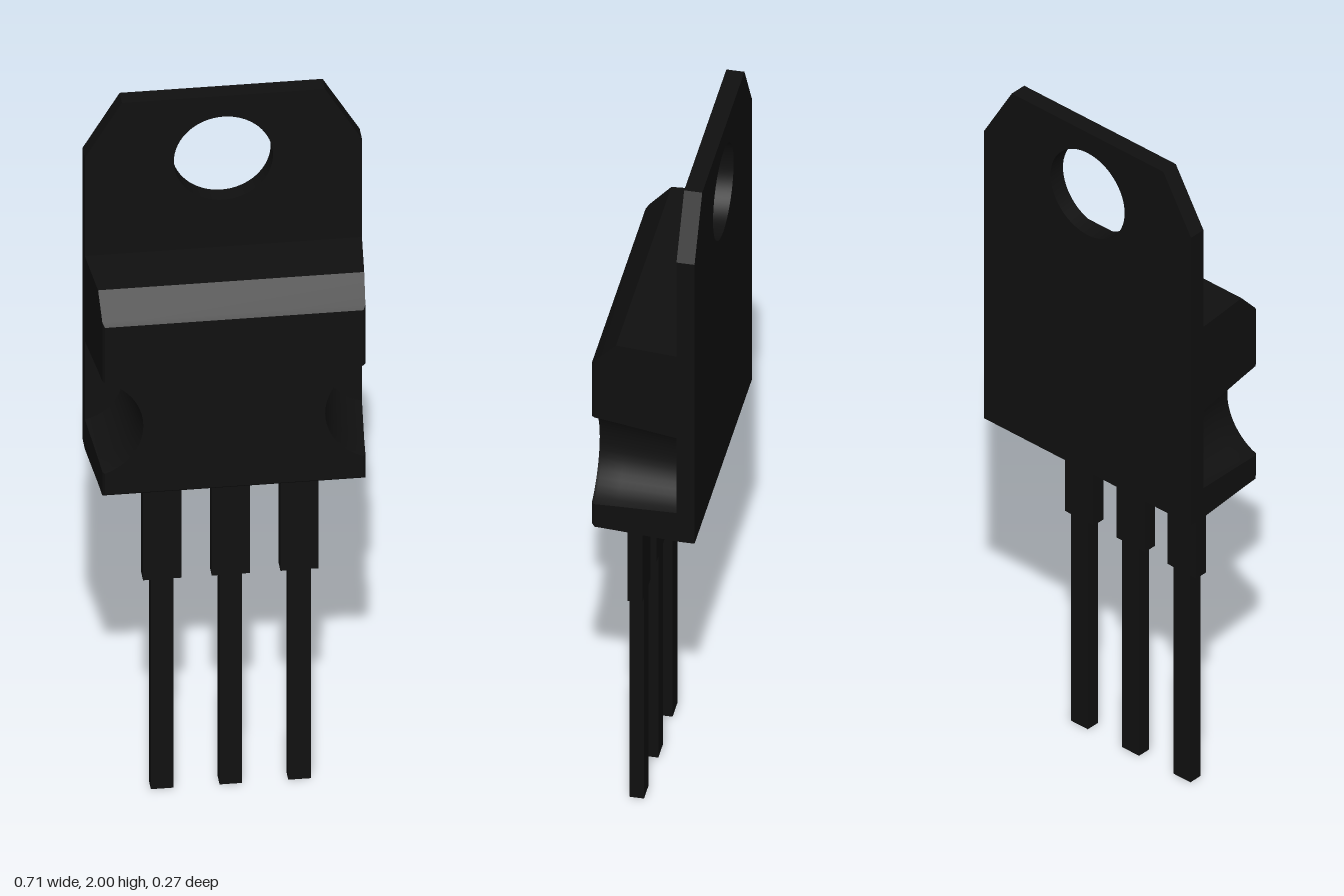
import * as THREE from 'three';
import { toCreasedNormals } from 'three/addons/utils/BufferGeometryUtils.js';

const NOTCH = { x: 0.38, y: 1.16, segments: 20 };

// Outline of the case at one depth, counter-clockwise, with a round notch in each side
function caseOutline({ w, bottom, top, r }) {
  const a = Math.acos((NOTCH.x - w) / r);
  const right = [];
  for (let i = 0; i <= NOTCH.segments; i++) {
    const t = -a + (2 * a * i) / NOTCH.segments;
    right.push(new THREE.Vector2(NOTCH.x - r * Math.cos(t), NOTCH.y + r * Math.sin(t)));
  }
  const left = right.map((p) => new THREE.Vector2(-p.x, p.y)).reverse();
  const corner = (x, y) => new THREE.Vector2(x, y);
  return [corner(-w, bottom), corner(w, bottom), ...right, corner(w, top), corner(-w, top), ...left];
}

// Skin the outlines from back to front and cap both ends
function caseGeometry(levels) {
  const rings = levels.map(caseOutline);
  const n = rings[0].length;
  const positions = [];
  const index = [];
  rings.forEach((ring, k) => ring.forEach((p) => positions.push(p.x, p.y, levels[k].z)));
  for (let k = 0; k < rings.length - 1; k++) {
    for (let i = 0; i < n; i++) {
      const j = (i + 1) % n;
      const a = k * n + i, b = k * n + j, c = b + n, d = a + n;
      index.push(a, b, c, a, c, d);
    }
  }
  const front = (rings.length - 1) * n;
  for (const [a, b, c] of THREE.ShapeUtils.triangulateShape(rings[rings.length - 1], [])) {
    index.push(front + a, front + b, front + c);
  }
  for (const [a, b, c] of THREE.ShapeUtils.triangulateShape(rings[0], [])) {
    index.push(a, c, b);
  }
  const geometry = new THREE.BufferGeometry();
  geometry.setAttribute('position', new THREE.Float32BufferAttribute(positions, 3));
  geometry.setIndex(index);
  return toCreasedNormals(geometry, 0.5);
}

// Mounting plate with clipped top corners and a screw hole
function tabGeometry() {
  const shape = new THREE.Shape([
    [-0.355, 0.95], [0.355, 0.95], [0.355, 1.84], [0.26, 2], [-0.26, 2], [-0.355, 1.84],
  ].map(([x, y]) => new THREE.Vector2(x, y)));
  const hole = new THREE.Path();
  hole.absarc(0, 1.81, 0.127, 0, Math.PI * 2, true);
  shape.holes.push(hole);
  const geometry = new THREE.ExtrudeGeometry(shape, { depth: 0.047, bevelEnabled: false, curveSegments: 32 });
  geometry.translate(0, 0, -0.137);
  return toCreasedNormals(geometry, 0.5);
}

// Flat pin with a wide shoulder and a narrow lower part
function legGeometry() {
  const points = [
    [-0.029, 0], [0.029, 0], [0.029, 0.64], [0.049, 0.64],
    [0.049, 0.96], [-0.049, 0.96], [-0.049, 0.64], [-0.029, 0.64],
  ].map(([x, y]) => new THREE.Vector2(x, y));
  const geometry = new THREE.ExtrudeGeometry(new THREE.Shape(points), { depth: 0.038, bevelEnabled: false });
  geometry.translate(0, 0, 0.026);
  return geometry;
}

export function createModel() {
  const model = new THREE.Group();
  model.name = 'powerTransistor';
  const material = new THREE.MeshStandardMaterial({ color: 0x101010 });

  const add = (name, geometry, x = 0) => {
    const mesh = new THREE.Mesh(geometry, material);
    mesh.name = name;
    mesh.position.x = x;
    model.add(mesh);
  };

  add('mountingTab', tabGeometry());

  // Case: tapered sides, sloped top edge, slightly softened front edges
  add('case', caseGeometry([
    { z: -0.09, w: 0.355, bottom: 0.95, top: 1.54, r: 0.122 },
    { z: 0.07, w: 0.341, bottom: 0.95, top: 1.54, r: 0.139 },
    { z: 0.127, w: 0.337, bottom: 0.95, top: 1.478, r: 0.145 },
    { z: 0.135, w: 0.331, bottom: 0.957, top: 1.467, r: 0.147 },
  ]));

  const leg = legGeometry();
  [['rightLeg', -0.176], ['middleLeg', 0], ['leftLeg', 0.176]].forEach(([name, x]) => add(name, leg, x));

  return model;
}
